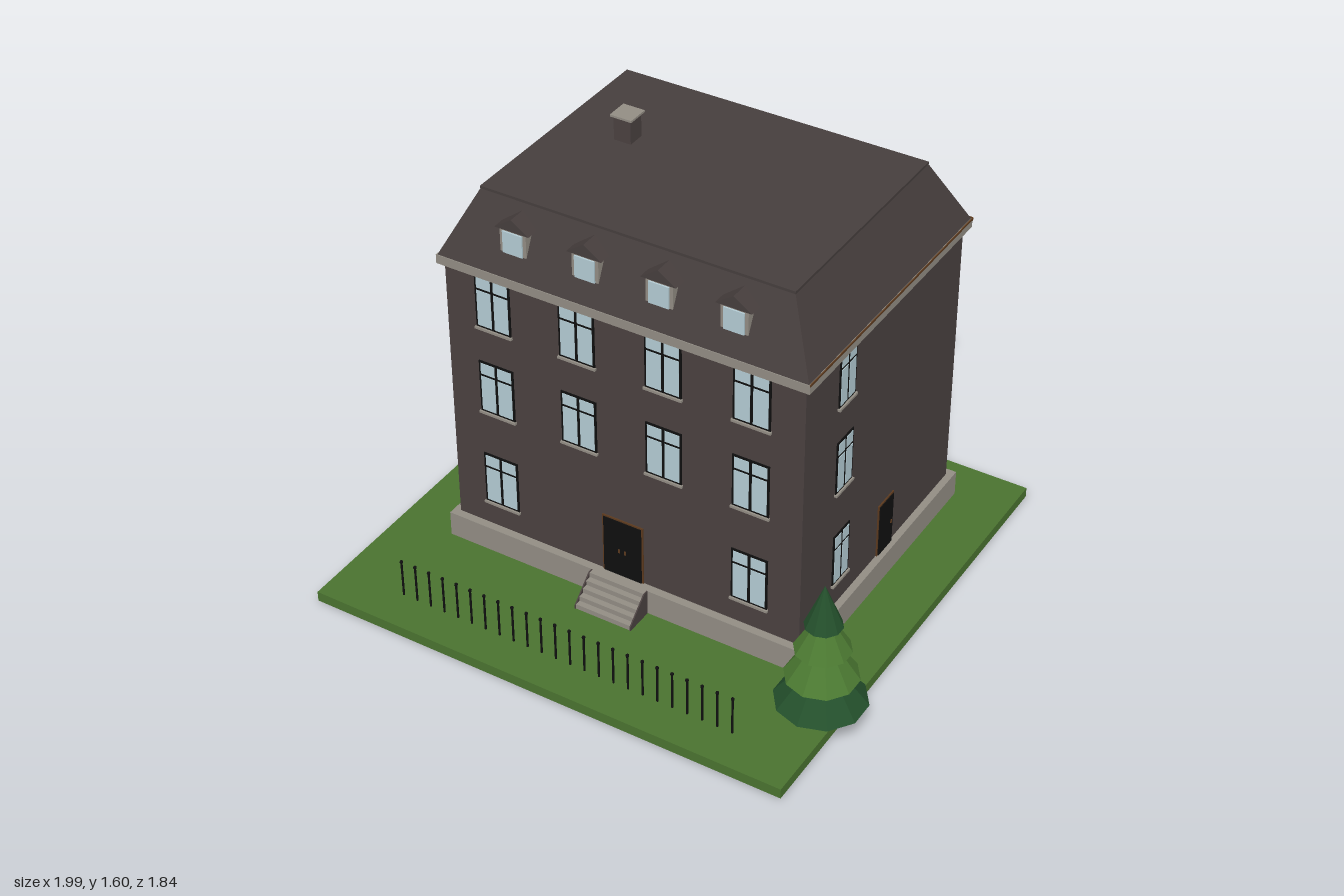
import * as THREE from 'three';

const mat = (name, color, double = false) => {
  const m = new THREE.MeshStandardMaterial({ color, flatShading: true });
  m.name = name;
  if (double) m.side = THREE.DoubleSide;
  return m;
};

export function createModel() {
  const wall = mat('wall brown', 0x4a4140);
  const roofMat = mat('roof brown', 0x463e3d);
  const stone = mat('stone grey', 0x928d84);
  const grass = mat('grass green', 0x4a7330);
  const glass = mat('window glass', 0xb4ccd4);
  const black = mat('black', 0x0f0f0f);
  const wood = mat('wood brown', 0x5c3a1e);
  const darkLeaf = mat('dark needle green', 0x24502c);
  const lightLeaf = mat('light needle green', 0x4c7a32);

  const model = new THREE.Group();
  model.name = 'townHouse';

  const add = (parent, name, geo, material, x = 0, y = 0, z = 0) => {
    const m = new THREE.Mesh(geo, material);
    m.name = name;
    m.position.set(x, y, z);
    parent.add(m);
    return m;
  };
  // box given by its limits on each axis
  const box = (parent, name, material, x0, x1, y0, y1, z0, z1) =>
    add(parent, name, new THREE.BoxGeometry(x1 - x0, y1 - y0, z1 - z0), material,
      (x0 + x1) / 2, (y0 + y1) / 2, (z0 + z1) / 2);

  // ---- ground, plinth, walls, cornice
  box(model, 'lawn', grass, -1, 0.885, 0, 0.04, -0.92, 0.915);
  box(model, 'plinth', stone, -0.783, 0.671, 0.04, 0.14, -0.754, 0.405);
  box(model, 'walls', wall, -0.757, 0.644, 0.14, 1.23, -0.724, 0.374);
  box(model, 'cornice', stone, -0.778, 0.666, 1.215, 1.25, -0.747, 0.394);
  box(model, 'backGutter', wood, -0.778, 0.666, 1.238, 1.252, -0.751, -0.746);
  box(model, 'sideGutter', wood, 0.664, 0.668, 1.245, 1.252, -0.749, 0.394);

  // ---- mansard roof: a box narrowed at the top
  const base = { x0: -0.773, x1: 0.661, z0: -0.744, z1: 0.391 };
  const top = { x0: -0.658, x1: 0.541, z0: -0.626, z1: 0.278 };
  const roof = new THREE.BoxGeometry(1, 1, 1);
  const p = roof.attributes.position;
  for (let i = 0; i < p.count; i++) {
    const r = p.getY(i) > 0 ? top : base;
    p.setXYZ(i, p.getX(i) < 0 ? r.x0 : r.x1, p.getY(i) > 0 ? 1.495 : 1.25, p.getZ(i) < 0 ? r.z0 : r.z1);
  }
  roof.computeVertexNormals();
  add(model, 'mansardRoof', roof, roofMat);
  box(model, 'roofDeck', roofMat, -0.661, 0.544, 1.49, 1.5, -0.629, 0.281);

  // ---- chimney
  box(model, 'chimney', wall, -0.441, -0.373, 1.49, 1.592, -0.268, -0.2);
  box(model, 'chimneyCap', stone, -0.45, -0.364, 1.592, 1.6, -0.277, -0.191);

  // ---- dormers
  const gable = new THREE.Shape([
    new THREE.Vector2(-0.068, 0), new THREE.Vector2(0.068, 0), new THREE.Vector2(0, 0.047),
  ]);
  const gableGeo = new THREE.ExtrudeGeometry(gable, { depth: 0.09, bevelEnabled: false });
  for (const x of [-0.484, -0.2, 0.085, 0.366]) {
    const d = new THREE.Group();
    d.name = 'dormer';
    d.position.x = x;
    box(d, 'dormerBody', stone, -0.052, 0.052, 1.315, 1.42, 0.27, 0.355);
    box(d, 'dormerGlass', glass, -0.039, 0.039, 1.328, 1.412, 0.355, 0.361);
    add(d, 'dormerRoof', gableGeo, roofMat, 0, 1.42, 0.272);
    model.add(d);
  }

  // ---- windows: built facing +z, then turned onto each wall
  const makeWindow = (w, h, small) => {
    const g = new THREE.Group();
    g.name = 'window';
    const e = 0.008, m = 0.006, bar = 0.005;
    box(g, 'windowFrame', black, -w / 2, w / 2, 0, h, -0.004, 0.004);
    const split = small ? h - e : h * 0.73;
    for (const s of [-1, 1]) {
      const a = Math.min(s * m, s * (w / 2 - e)), b = Math.max(s * m, s * (w / 2 - e));
      box(g, 'lowerPane', glass, a, b, e, split - (small ? 0 : bar), 0.002, 0.006);
      if (!small) box(g, 'upperPane', glass, a, b, split + bar, h - e, 0.002, 0.006);
    }
    box(g, 'windowSill', stone, -w / 2 - 0.004, w / 2 + 0.004, -0.009, 0, -0.002, 0.011);
    return g;
  };
  const rows = [0.242, 0.642, 1.0];
  const H = 0.213;
  const place = (g, x, y, z, turn) => {
    g.position.set(x, y, z);
    g.rotation.y = turn;
    model.add(g);
  };
  rows.forEach((y, r) => {
    // front
    [-0.565, -0.228, 0.11, 0.447].forEach((x, c) => {
      if (r > 0 || c === 0 || c === 3) place(makeWindow(0.142, H), x, y, 0.374, 0);
    });
    // sides
    place(makeWindow(0.112, H), 0.644, y, 0.098, Math.PI / 2);
    for (const z of [0.098, -0.52]) place(makeWindow(0.112, H), -0.757, y, z, -Math.PI / 2);
    // back, with a column of small windows
    for (const x of [0.18, -0.205, -0.555]) place(makeWindow(0.12, H), x, y, -0.724, Math.PI);
    place(makeWindow(0.1, 0.085, true), 0.512, y + 0.1, -0.724, Math.PI);
  });

  // ---- doors
  const makeDoor = (w, h, double) => {
    const g = new THREE.Group();
    g.name = 'door';
    box(g, 'doorFrame', wood, -w / 2, w / 2, 0, h, -0.004, 0.005);
    box(g, 'doorLeaf', black, -w / 2 + 0.006, w / 2 - 0.006, 0, h - 0.006, 0, 0.008);
    for (const s of double ? [-1, 1] : [1])
      box(g, 'doorHandle', wood, s * (double ? 0.012 : 0.035) - 0.003, s * (double ? 0.012 : 0.035) + 0.003,
        h * 0.42, h * 0.48, 0.008, 0.012);
    return g;
  };
  place(makeDoor(0.166, 0.245, true), -0.059, 0.14, 0.374, 0);
  place(makeDoor(0.112, 0.222, false), 0.644, 0.14, -0.231, Math.PI / 2);

  // ---- front steps with dark side strings
  const steps = 5;
  for (let i = 0; i < steps; i++) {
    const y1 = 0.14 - i * 0.02;
    box(model, 'step', stone, -0.17, 0.052, y1 - 0.02, y1, 0.4, 0.425 + i * 0.0225);
  }
  const string = new THREE.Shape([
    new THREE.Vector2(0.4, 0.04), new THREE.Vector2(0.517, 0.04), new THREE.Vector2(0.517, 0.056),
    new THREE.Vector2(0.425, 0.14), new THREE.Vector2(0.4, 0.14),
  ]);
  const stringGeo = new THREE.ExtrudeGeometry(string, { depth: 0.005, bevelEnabled: false });
  stringGeo.rotateY(-Math.PI / 2);
  for (const x of [-0.17, 0.057]) add(model, 'stepString', stringGeo, wall, x, 0, 0);

  // ---- fence posts with round heads
  const postGeo = new THREE.CylinderGeometry(0.004, 0.004, 0.15, 6);
  const headGeo = new THREE.SphereGeometry(0.007, 6, 4);
  for (let i = 0; i < 24; i++) {
    const x = -0.73 + i * 0.0585;
    add(model, 'fencePost', postGeo, black, x, 0.115, 0.768);
    add(model, 'fencePostHead', headGeo, black, x, 0.19, 0.768);
  }

  // ---- fir tree: [base y, top y, base radius, top radius, material]
  const tree = new THREE.Group();
  tree.name = 'firTree';
  tree.position.set(0.837, 0, 0.567);
  add(tree, 'trunk', new THREE.CylinderGeometry(0.015, 0.015, 0.13, 8), wood, 0, 0.1, 0);
  for (const [y0, y1, r0, r1, m] of [
    [0.145, 0.255, 0.163, 0.075, darkLeaf],
    [0.25, 0.37, 0.13, 0.05, lightLeaf],
    [0.365, 0.475, 0.1, 0.035, lightLeaf],
    [0.465, 0.63, 0.067, 0, darkLeaf],
  ]) add(tree, 'branches', new THREE.CylinderGeometry(r1, r0, y1 - y0, 10), m, 0, (y0 + y1) / 2, 0);
  model.add(tree);

  return model;
}
